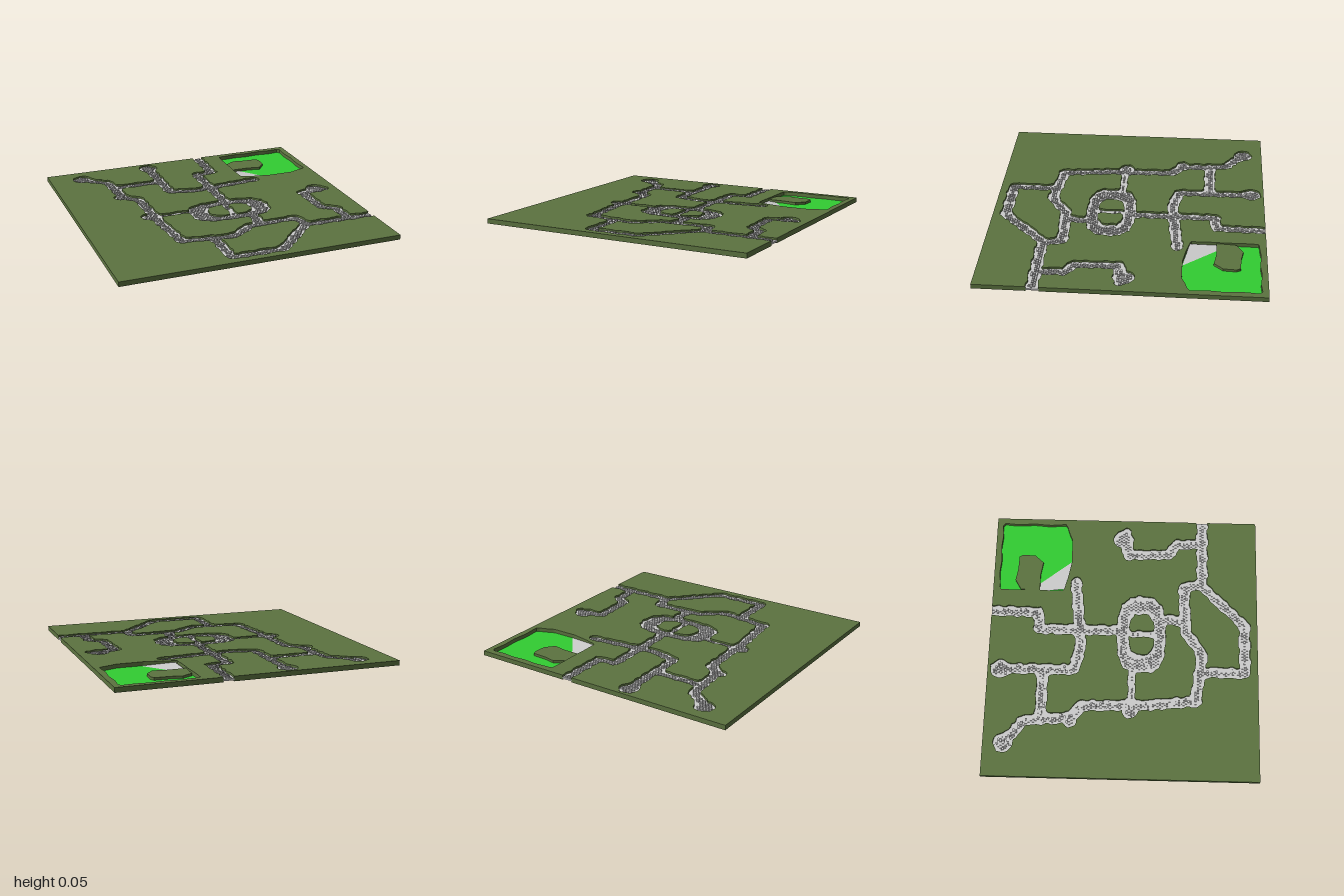
import * as THREE from 'three';
import { mergeGeometries } from 'three/addons/utils/BufferGeometryUtils.js';

const HX = 1, HZ = 0.98, STEP = 0.02;

// Footpath centre lines on the ground plan: x, z, x, z, ...
const PATHS = [
  [-0.76, -0.83, -0.59, -0.7, -0.56, -0.36, -0.47, -0.29, -0.46, 0.15, -0.42, 0.53, -0.06, 0.575,
    0.11, 0.455, 0.46, 0.44, 0.5, 0.575, 1.1, 0.575],
  [-0.54, -0.58, -0.2, -0.58],
  [-0.205, -0.89, -0.2, -0.36, -0.05, -0.315, 0.08, -0.32, 0.49, -0.365],
  [0.245, -1.1, 0.24, -0.635, 0.11, -0.62, 0.11, 0],
  [0.2, 0.27, 0.2, 0.44],
  [-0.2, 0.58, -0.2, 0.885, 0.17, 0.885, 0.48, 0.57],
  [0.82, 0.57, 0.815, 0.38, 0.73, 0.33, 0.72, 0.02, 0.9, 0],
];
const LANES = [[-0.45, 0.065, -0.18, 0.065], [0.085, 0, 0.085, 0.27]];
// Widened spots: x, z, radius
const CLEARINGS = [[-0.76, -0.835, 0.07], [-0.205, -0.89, 0.07], [-0.59, -0.37, 0.045], [-0.5, 0.06, 0.06], [0.85, -0.02, 0.075]];

function lineDistance(p, x, z) {
  let d = 9;
  for (let i = 0; i + 3 < p.length; i += 2) {
    const dx = p[i + 2] - p[i], dz = p[i + 3] - p[i + 1];
    const t = THREE.MathUtils.clamp(((x - p[i]) * dx + (z - p[i + 1]) * dz) / (dx * dx + dz * dz), 0, 1);
    d = Math.min(d, Math.hypot(x - p[i] - t * dx, z - p[i + 1] - t * dz));
  }
  return d;
}

// Negative inside the footpaths, with a slightly ragged edge
function pathField(x, z) {
  const oval = Math.cbrt(Math.abs((x - 0.085) / 0.228) ** 3 + Math.abs((z - 0.13) / 0.135) ** 3);
  const d = Math.min(
    Math.abs(oval - 1) * 0.16 - 0.05,
    ...PATHS.map(p => lineDistance(p, x, z) - 0.04),
    ...LANES.map(p => lineDistance(p, x, z) - 0.025),
    ...CLEARINGS.map(([cx, cz, r]) => Math.hypot(x - cx, z - cz) - r));
  return d + 0.006 * Math.sin(Math.floor(x * 22) * 2.1 + Math.floor(z * 22) * 3.7);
}

// Negative inside the pond: a box whose front edge is bent back at both ends
function pondField(x, z) {
  const front = -0.405 - 0.2 * Math.max(0, 0.64 - x) - 0.4 * Math.max(0, x - 0.83);
  return Math.max(Math.abs(x - 0.686) - 0.27, -0.935 - z, z - front) + 0.004 * Math.sin(x * 31) * Math.cos(z * 27);
}

// Flat solid between y0 and y1 covering the plan area where field > 0
function solid(field, y0, y1) {
  const nx = Math.round(2 * HX / STEP), nz = Math.round(2 * HZ / STEP), pos = [];
  const tri = (...v) => v.forEach(p => pos.push(...p));
  const at = (p, y) => [p.x, y, p.z];
  const node = [];
  for (let i = 0; i <= nx; i++) {
    node.push([]);
    for (let j = 0; j <= nz; j++) {
      const x = -HX + i * STEP, z = -HZ + j * STEP;
      node[i].push({ x, z, f: field(x, z) });
    }
  }
  const onRim = (a, b) => [['x', HX], ['z', HZ]].some(([k, h]) =>
    Math.abs(a[k] - b[k]) < 1e-6 && Math.abs(Math.abs(a[k]) - h) < 1e-6);
  for (let i = 0; i < nx; i++) for (let j = 0; j < nz; j++) {
    // Clip the grid cell to the area
    const c = [node[i][j], node[i][j + 1], node[i + 1][j + 1], node[i + 1][j]], poly = [];
    c.forEach((a, k) => {
      const b = c[(k + 1) % 4];
      if (a.f > 0) poly.push(a);
      if ((a.f > 0) !== (b.f > 0)) {
        const t = a.f / (a.f - b.f);
        poly.push({ x: a.x + t * (b.x - a.x), z: a.z + t * (b.z - a.z), cut: true, leaving: a.f > 0 });
      }
    });
    // Top and bottom
    for (let k = 1; k + 1 < poly.length; k++) {
      tri(at(poly[0], y1), at(poly[k], y1), at(poly[k + 1], y1));
      tri(at(poly[0], y0), at(poly[k + 1], y0), at(poly[k], y0));
    }
    // Walls along the cut and the outer rim
    poly.forEach((a, k) => {
      const b = poly[(k + 1) % poly.length];
      if ((a.cut && b.cut && a.leaving) || onRim(a, b)) {
        tri(at(a, y0), at(b, y0), at(b, y1));
        tri(at(a, y0), at(b, y1), at(a, y1));
      }
    });
  }
  const g = new THREE.BufferGeometry();
  g.setAttribute('position', new THREE.Float32BufferAttribute(pos, 3));
  g.computeVertexNormals();
  return g;
}

// Running-bond cobbles filling the footpaths inside a plain border
function cobbles() {
  let seed = 7;
  const rand = () => (seed = (seed * 16807) % 2147483647) / 2147483647;
  const list = [], px = 0.023, pz = 0.017;
  for (let row = 0, z = -HZ + 0.012; z < HZ - 0.01; z += pz, row++)
    for (let x = -HX + 0.015 + (row % 2) * px / 2; x < HX - 0.01; x += px) {
      if (pathField(x, z) > -0.021 || pondField(x, z) < 0.02) continue;
      const h = 0.008 + 0.003 * rand();
      const g = new THREE.BoxGeometry(px * (0.7 + 0.15 * rand()), h, pz * (0.7 + 0.15 * rand()));
      list.push(g.rotateY((rand() - 0.5) * 0.2).translate(x, 0.03 + h / 2, z));
    }
  return mergeGeometries(list);
}

export function createModel() {
  const group = new THREE.Group();
  const grass = new THREE.MeshStandardMaterial({ color: 0x5c7340 });
  const water = new THREE.MeshStandardMaterial({ color: 0x32cd32 });
  const stone = new THREE.MeshStandardMaterial({ color: 0xcccccc });
  const rampStone = new THREE.MeshStandardMaterial({ color: 0xcccccc, side: THREE.DoubleSide });
  const add = (name, geometry, material) => {
    const mesh = new THREE.Mesh(geometry, material);
    mesh.name = name;
    group.add(mesh);
  };

  // Grass slab with the footpaths and the pond cut through it
  add('grassSlab', solid((x, z) => Math.min(pathField(x, z), pondField(x, z)), 0.011, 0.045), grass);

  // Sunken path bed and its paving
  add('pathBed', solid((x, z) => Math.min(-pathField(x, z), pondField(x, z)), 0.018, 0.03), stone);
  add('cobblestones', cobbles(), stone);

  // Pond floor and the island standing in it
  add('pond', solid((x, z) => -pondField(x, z), 0.013, 0.017), water);
  const outline = new THREE.Shape([[0.425, -0.775], [0.5, -0.82], [0.58, -0.805], [0.69, -0.8], [0.705, -0.77],
    [0.7, -0.68], [0.645, -0.617], [0.545, -0.634], [0.415, -0.634]].map(([x, z]) => new THREE.Vector2(x, -z)));
  add('island', new THREE.ExtrudeGeometry(outline, { depth: 0.035, bevelEnabled: false }).rotateX(-Math.PI / 2), grass);

  // Ramp sloping from the path down to the pond
  const ramp = new THREE.BufferGeometry();
  ramp.setAttribute('position', new THREE.Float32BufferAttribute([
    0.418, 0.023, -0.634, 0.43, 0.034, -0.45, 0.55, 0.025, -0.425, 0.66, 0.0172, -0.405, 0.48, 0.0172, -0.634], 3));
  ramp.setIndex([0, 1, 4, 1, 2, 4, 2, 3, 4]);
  ramp.computeVertexNormals();
  add('ramp', ramp, rampStone);

  return group;
}
